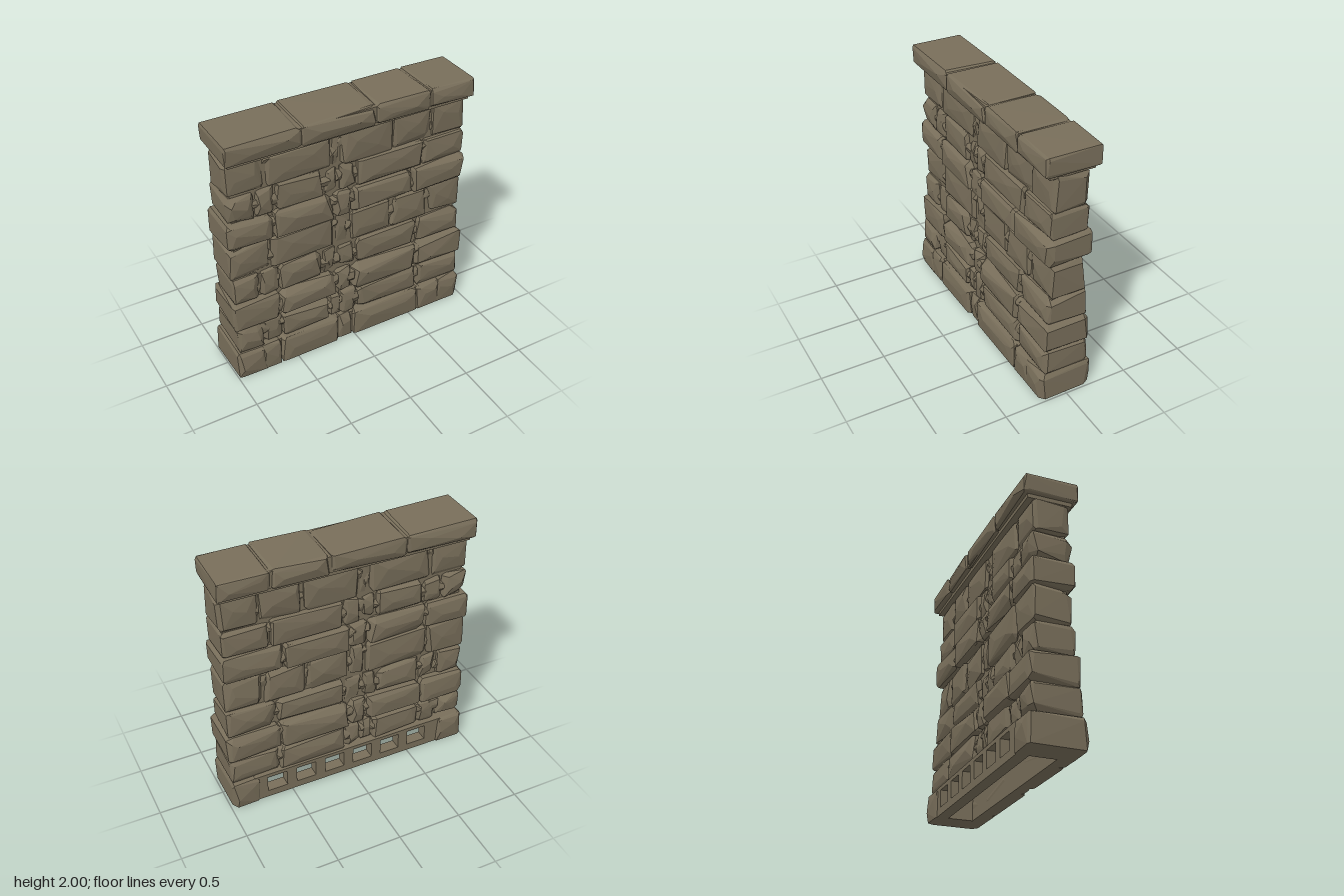
import * as THREE from 'three';
import { ConvexGeometry } from 'three/addons/geometries/ConvexGeometry.js';

const stoneMat = new THREE.MeshStandardMaterial({ color: 0x786e5a, flatShading: true });
stoneMat.name = 'brown stone';

// Small seeded generator so that every build is the same
let seed = 7;
const rand = (a, b) => {
  seed = (seed * 16807) % 2147483647;
  return a + (b - a) * seed / 2147483647;
};

// Chipped block: each corner becomes three cut points, and the two large faces bulge a little
function stone(name, x0, x1, y0, y1, z0, z1, chip = 0.04, flatBase = false) {
  const pts = [];
  const c = [(x0 + x1) / 2, (y0 + y1) / 2, (z0 + z1) / 2];
  const h = [(x1 - x0) / 2, (y1 - y0) / 2, (z1 - z0) / 2];
  for (const sx of [-1, 1]) for (const sy of [-1, 1]) for (const sz of [-1, 1]) {
    const s = [sx, sy, sz];
    const big = rand(0, 1) < 0.25 ? 1.7 : 1;
    for (let axis = 0; axis < 3; axis++) {
      const p = s.map((v, i) => {
        const limit = Math.min(chip * big, h[i] * 0.6);
        const cut = i === axis ? rand(0, 0.008) : limit * rand(0.25, 1);
        return c[i] + v * (h[i] - cut);
      });
      if (flatBase && sy < 0) p[1] = y0;
      pts.push(new THREE.Vector3(...p));
    }
  }
  // Uneven ridges across the front and back
  for (const z of [z0, z1]) for (const t of [-0.5, 0.45]) {
    const out = Math.sign(z - c[2]) * rand(0.004, 0.016);
    pts.push(new THREE.Vector3(c[0] + h[0] * (t + rand(-0.2, 0.2)), c[1] + h[1] * rand(-0.4, 0.4), z + out));
  }
  const mesh = new THREE.Mesh(new ConvexGeometry(pts), stoneMat);
  mesh.name = name;
  return mesh;
}

function box(name, x0, x1, y0, y1, z0, z1) {
  const mesh = new THREE.Mesh(new THREE.BoxGeometry(x1 - x0, y1 - y0, z1 - z0), stoneMat);
  mesh.position.set((x0 + x1) / 2, (y0 + y1) / 2, (z0 + z1) / 2);
  mesh.name = name;
  return mesh;
}

// Courses above the base: bottom, top, half depth, joints along x
const courses = [
  [0.22, 0.43, 0.19, [-0.98, -0.76, -0.6, -0.2, -0.1, 0.04, 0.58, 0.98]],
  [0.43, 0.65, 0.19, [-0.99, -0.61, -0.14, 0, 0.56, 0.99]],
  [0.65, 0.87, 0.16, [-0.97, -0.76, -0.6, -0.24, -0.12, 0.04, 0.58, 0.97]],
  [0.87, 1.14, 0.15, [-0.98, -0.66, -0.14, -0.01, 0.34, 0.67, 0.97]],
  [1.14, 1.35, 0.18, [-0.99, -0.63, -0.15, 0, 0.51, 0.98]],
  [1.35, 1.56, 0.16, [-0.97, -0.76, -0.6, -0.22, -0.1, 0.04, 0.6, 0.96]],
  [1.56, 1.83, 0.145, [-0.97, -0.67, -0.16, -0.09, 0.34, 0.67, 0.965]],
];

function buildCourses() {
  const group = new THREE.Group();
  group.name = 'wallCourses';
  group.add(box('mortarCore', -0.93, 0.93, 0.2, 1.85, -0.115, 0.115));
  for (const [y0, y1, d, xs] of courses) {
    for (let i = 0; i < xs.length - 1; i++) {
      const narrow = xs[i + 1] - xs[i] < 0.2;
      const inset = narrow ? 0.02 : 0;
      group.add(stone(narrow ? 'fillerStone' : 'wallStone',
        xs[i] + (i ? 0.002 : 0), xs[i + 1] - 0.002, y0 + rand(-0.01, 0.006), y1 + rand(-0.006, 0.01),
        -d + inset + rand(-0.004, 0.012), d - inset - rand(-0.004, 0.012)));
      // Thin broken chip wedged in the joint
      if (i) {
        const x = xs[i] + rand(-0.02, 0.02), y = rand(y0 + 0.03, y1 - 0.1), w = rand(0.03, 0.06);
        group.add(stone('jointChip', x - w, x + w, y, y + rand(0.07, 0.12), -d + 0.025, d - 0.025, 0.03));
      }
    }
  }
  return group;
}

// Hollow base: solid front and ends, pierced back, open underneath
function buildBase() {
  const group = new THREE.Group();
  group.name = 'base';
  const xs = [-0.8, -0.63, -0.14, -0.01, 0.58, 0.8];
  for (let i = 0; i < xs.length - 1; i++) {
    const inset = i === 2 ? 0.02 : 0;
    group.add(stone('baseFrontStone', xs[i], xs[i + 1], 0, 0.225, 0.1, 0.208 - inset, 0.035, true));
  }
  group.add(stone('baseEndStone', -0.995, -0.76, 0, 0.225, -0.21, 0.21, 0.035, true));
  group.add(stone('baseEndStone', 0.76, 0.985, 0, 0.225, -0.21, 0.21, 0.035, true));
  group.add(box('baseFrontLining', -0.8, 0.8, 0, 0.21, 0.09, 0.17));

  // Back panel with a row of openings
  const panel = new THREE.Shape([[-0.8, 0], [0.8, 0], [0.8, 0.225], [-0.8, 0.225]].map(p => new THREE.Vector2(...p)));
  for (let i = 0; i < 6; i++) {
    const x = -0.58 + i * 0.24, w = 0.08;
    panel.holes.push(new THREE.Path([[x - w, 0.06], [x - w, 0.195], [x + w, 0.195], [x + w, 0.06]].map(p => new THREE.Vector2(...p))));
  }
  const grille = new THREE.Mesh(new THREE.ExtrudeGeometry(panel, { depth: 0.09, bevelEnabled: false }), stoneMat);
  grille.position.z = -0.195;
  grille.name = 'baseGrille';
  group.add(grille);
  return group;
}

// Overhanging coping with a narrower bed beneath it
function buildCoping() {
  const group = new THREE.Group();
  group.name = 'coping';
  const xs = [-0.985, -0.42, 0.16, 0.6, 0.98];
  group.add(box('copingBed', -0.95, 0.95, 1.82, 1.88, -0.17, 0.17));
  group.add(box('copingCore', -0.94, 0.94, 1.86, 1.985, -0.195, 0.195));
  for (let i = 0; i < xs.length - 1; i++) {
    group.add(stone('copingStone', xs[i], xs[i + 1], 1.845, 2, -0.212, 0.212, 0.03));
  }
  return group;
}

export function createModel() {
  seed = 7;
  const model = new THREE.Group();
  model.name = 'stoneWall';
  model.add(buildBase(), buildCourses(), buildCoping());
  return model;
}
